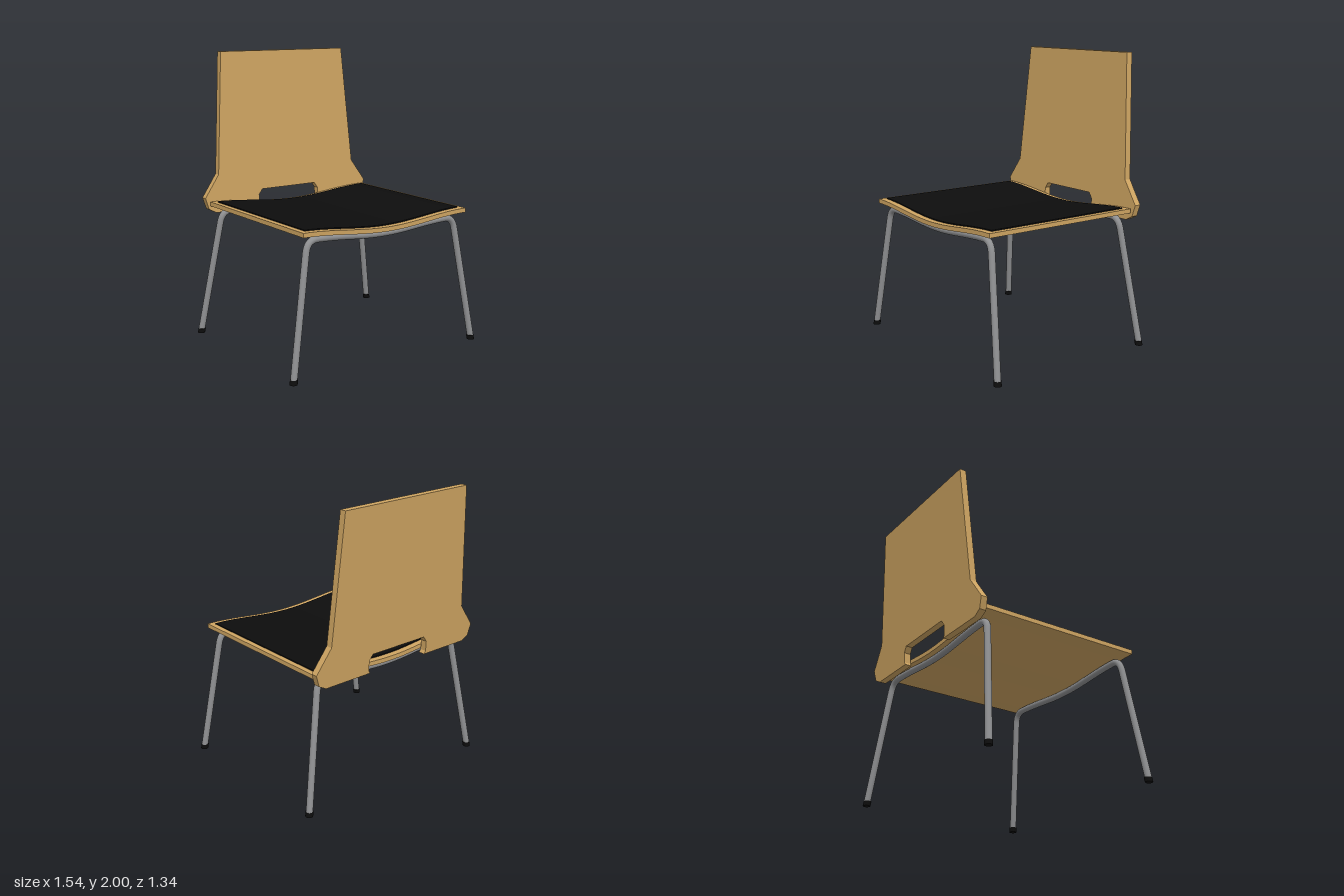
import * as THREE from 'three';

const mat = (name, color) => {
  const m = new THREE.MeshStandardMaterial({ color });
  m.name = name;
  return m;
};
const v = (x, y, z) => new THREE.Vector3(x, y, z);

// Height of the seat's upper surface: a shallow dip across the width
const dip = (x) => 0.91 + 0.0225 * (1 - Math.cos((Math.PI * x) / 0.665));

// Dished sheet: cross-section between two heights above the dip, run along z
function dishedSheet(halfWidth, low, high, zBack, zFront) {
  const n = 32, pts = [];
  const xAt = (i) => halfWidth * ((2 * i) / n - 1);
  for (let i = 0; i <= n; i++) pts.push(new THREE.Vector2(xAt(i), dip(xAt(i)) + low));
  for (let i = n; i >= 0; i--) pts.push(new THREE.Vector2(xAt(i), dip(xAt(i)) + high));
  const geo = new THREE.ExtrudeGeometry(new THREE.Shape(pts), { depth: zFront - zBack, bevelEnabled: false });
  return geo.translate(0, 0, zBack);
}

// Backrest: mirrored outline with a hand notch, leaning backwards
function backrestGeometry() {
  const half = [[0.23, 1.0], [0.258, 0.96], [0.258, 0.89], [0.245, 0.87], [0.615, 0.87],
    [0.672, 0.9], [0.697, 0.98], [0.583, 1.14], [0.518, 2.0]];
  const right = half.map(([x, y]) => new THREE.Vector2(x, y));
  const left = half.map(([x, y]) => new THREE.Vector2(-x, y)).reverse();
  const geo = new THREE.ExtrudeGeometry(new THREE.Shape([...right, ...left]), { depth: 0.047, bevelEnabled: false });
  const p = geo.attributes.position;
  for (let i = 0; i < p.count; i++) p.setZ(i, p.getZ(i) - 0.6 - (p.getY(i) - 0.87) * 0.06);
  geo.computeVertexNormals();
  return geo;
}

// One bent tube: leg, rounded corner, sagging crossbar, corner, leg
function legPath(zTop, zFoot) {
  const foot = (s) => v(s * 0.745, 0.015, zFoot);
  const bend = (s) => v(s * 0.6, 0.89, zTop);
  const below = (s) => bend(s).lerp(foot(s), 0.09);
  const inner = (s) => v(s * 0.53, 0.89, zTop);
  const path = new THREE.CurvePath();
  path.add(new THREE.LineCurve3(foot(-1), below(-1)));
  path.add(new THREE.QuadraticBezierCurve3(below(-1), bend(-1), inner(-1)));
  path.add(new THREE.CubicBezierCurve3(inner(-1), v(-0.3, 0.885, zTop), v(-0.2, 0.858, zTop), v(0, 0.858, zTop)));
  path.add(new THREE.CubicBezierCurve3(v(0, 0.858, zTop), v(0.2, 0.858, zTop), v(0.3, 0.885, zTop), inner(1)));
  path.add(new THREE.QuadraticBezierCurve3(inner(1), bend(1), below(1)));
  path.add(new THREE.LineCurve3(below(1), foot(1)));
  return path;
}

export function createModel() {
  const wood = mat('wood', 0xcfa562);
  const steel = mat('steel', 0x8f9092);
  const black = mat('black', 0x0d0d0d);

  const group = new THREE.Group();
  group.name = 'chair';
  const add = (name, geo, material) => {
    const mesh = new THREE.Mesh(geo, material);
    mesh.name = name;
    group.add(mesh);
    return mesh;
  };

  add('seat', dishedSheet(0.665, -0.03, 0, -0.548, 0.643), wood);
  add('seatPad', dishedSheet(0.628, 0, 0.008, -0.502, 0.598), black);
  add('backrest', backrestGeometry(), wood);

  // Front and rear leg frames with rubber feet
  for (const [label, zTop, zFoot] of [['front', 0.582, 0.642], ['rear', -0.497, -0.58]]) {
    add(label + 'LegFrame', new THREE.TubeGeometry(legPath(zTop, zFoot), 140, 0.023, 16), steel);
    for (const s of [-1, 1]) {
      const geo = new THREE.CylinderGeometry(0.026, 0.026, 0.032, 16).translate(0, 0.016, 0);
      // Slant the foot along the leg while keeping its base level
      geo.applyMatrix4(new THREE.Matrix4().makeShear(0, 0, (-s * 0.145) / 0.875, (zTop - zFoot) / 0.875, 0, 0));
      const side = s > 0 ? 'Left' : 'Right';
      add(label + side + 'Foot', geo, black).position.set(s * 0.746, 0, zFoot);
    }
  }
  return group;
}
